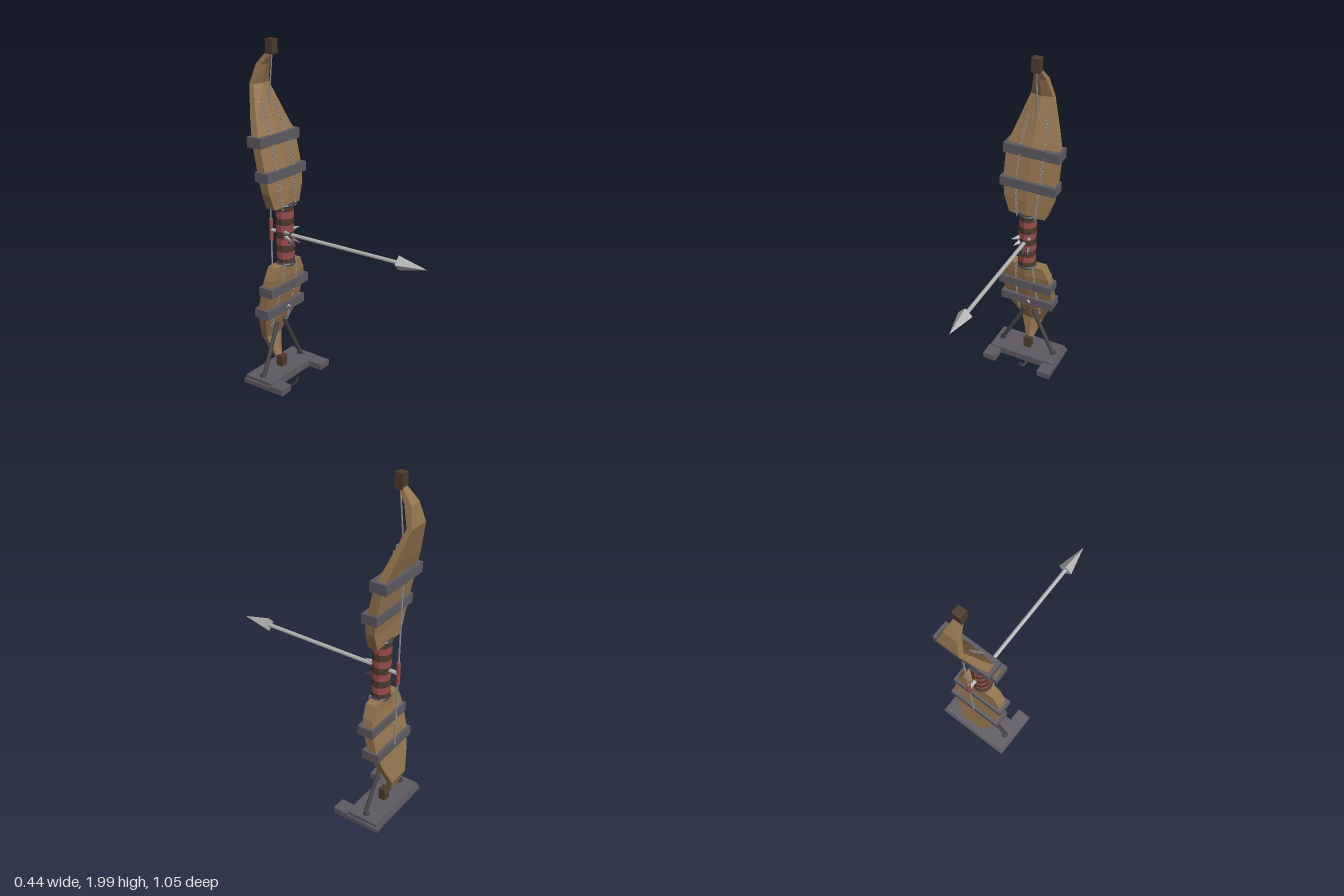
import * as THREE from 'three';

const mat = (name, color) => {
  const m = new THREE.MeshStandardMaterial({ color });
  m.name = name;
  m.flatShading = true;
  return m;
};

export function createModel() {
  const root = new THREE.Group();
  const wood = mat('wood', 0x94754f);
  const darkWood = mat('dark wood', 0x4c3a2c);
  const red = mat('red leather', 0x994c4a);
  const metal = mat('grey metal', 0x5d5a61);
  const darkMetal = mat('dark metal', 0x434246);
  const steel = mat('light steel', 0xb0b0b0);
  const chainGrey = mat('chain grey', 0x8a8c90);

  const add = (name, geo, material, x = 0, y = 0, z = 0, parent = root) => {
    const m = new THREE.Mesh(geo, material);
    m.name = name;
    m.position.set(x, y, z);
    parent.add(m);
    return m;
  };
  // box given by its extents
  const box = (name, material, x0, x1, y0, y1, z0, z1) =>
    add(name, new THREE.BoxGeometry(x1 - x0, y1 - y0, z1 - z0), material,
      (x0 + x1) / 2, (y0 + y1) / 2, (z0 + z1) / 2);
  // rod or spike between two points
  const UP = new THREE.Vector3(0, 1, 0);
  const rod = (name, material, a, b, r0, r1 = r0, sides = 8) => {
    const p = new THREE.Vector3(...a), q = new THREE.Vector3(...b);
    const d = q.clone().sub(p);
    const m = add(name, new THREE.CylinderGeometry(r1, r0, d.length(), sides), material);
    m.position.copy(p).add(q).multiplyScalar(0.5);
    m.quaternion.setFromUnitVectors(UP, d.normalize());
    return m;
  };

  // limb sections: y, half width, front z, back z
  const upper = [
    [1.13, 0.105, -0.33, -0.4], [1.22, 0.137, -0.335, -0.4], [1.31, 0.15, -0.345, -0.41],
    [1.5, 0.15, -0.385, -0.445], [1.6, 0.118, -0.425, -0.478], [1.77, 0.062, -0.485, -0.525],
    [1.87, 0.036, -0.452, -0.5], [1.94, 0.018, -0.405, -0.44],
  ];
  const lower = [
    [0.18, 0.018, -0.405, -0.43], [0.25, 0.038, -0.428, -0.47], [0.33, 0.066, -0.448, -0.495],
    [0.45, 0.12, -0.405, -0.465], [0.54, 0.148, -0.38, -0.445], [0.66, 0.15, -0.348, -0.415],
    [0.73, 0.137, -0.335, -0.405], [0.8, 0.105, -0.33, -0.4],
  ];
  const limb = (name, rows) => {
    const rings = rows.map(([y, w, f, b]) =>
      [[0, y, f], [w, y, f - 0.013], [w, y, b], [-w, y, b], [-w, y, f - 0.013]]);
    const pos = [];
    const tri = (...p) => p.forEach((v) => pos.push(...v));
    for (let i = 0; i < rings.length - 1; i++) {
      for (let j = 0; j < 5; j++) {
        const k = (j + 1) % 5, lo = rings[i], hi = rings[i + 1];
        tri(lo[j], lo[k], hi[k]);
        tri(lo[j], hi[k], hi[j]);
      }
    }
    const bot = rings[0], top = rings[rings.length - 1];
    for (let j = 1; j < 4; j++) {
      tri(bot[0], bot[j + 1], bot[j]);
      tri(top[0], top[j], top[j + 1]);
    }
    const g = new THREE.BufferGeometry();
    g.setAttribute('position', new THREE.Float32BufferAttribute(pos, 3));
    g.computeVertexNormals();
    add(name, g, wood);
  };
  limb('upperLimb', upper);
  limb('lowerLimb', lower);
  box('upperTip', darkWood, -0.023, 0.023, 1.925, 2, -0.445, -0.4);
  box('lowerTip', darkWood, -0.023, 0.023, 0.14, 0.21, -0.43, -0.39);

  // metal bands across the limbs
  [[1.465, 1.52, -0.47, -0.377], [1.287, 1.34, -0.425, -0.337],
    [0.638, 0.69, -0.423, -0.333], [0.5, 0.552, -0.46, -0.365]]
    .forEach(([y0, y1, z0, z1]) => box('limbBand', metal, -0.16, 0.16, y0, y1, z0, z1));

  // wrapped grip with alternating bands and end rings
  const n = 9, y0 = 0.795, h = 0.345 / n;
  for (let i = 0; i < n; i++) {
    const g = new THREE.CylinderGeometry(0.05, 0.05, h, 10);
    add(i % 2 ? 'redWrap' : 'brownWrap', g, i % 2 ? red : darkWood, 0, y0 + h * (i + 0.5), -0.362);
  }
  for (const y of [0.8, 1.135]) {
    add('gripRing', new THREE.TorusGeometry(0.047, 0.009, 6, 12), darkMetal, 0, y, -0.362)
      .rotation.x = Math.PI / 2;
  }

  // chains lying on the front of the limbs
  const frontAt = (rows, y) => {
    let i = 0;
    while (i < rows.length - 2 && rows[i + 1][0] < y) i++;
    const t = (y - rows[i][0]) / (rows[i + 1][0] - rows[i][0]);
    return rows[i][2] + t * (rows[i + 1][2] - rows[i][2]);
  };
  const link = new THREE.TorusGeometry(0.0065, 0.0022, 4, 8);
  link.scale(1, 1.6, 1);
  const chain = (rows, a, b, xAt) => {
    const count = Math.round((b - a) / 0.017);
    for (const s of [1, -1]) {
      const g = new THREE.Group();
      g.name = 'chain';
      root.add(g);
      for (let i = 0; i <= count; i++) {
        const t = i / count, y = a + (b - a) * t;
        add('chainLink', link, chainGrey, s * xAt(t), y, frontAt(rows, y) - 0.002, g)
          .rotation.y = i % 2 ? 0.8 : -0.8;
      }
    }
  };
  chain(upper, 1.13, 1.67, (t) => 0.053 + 0.016 * Math.sin(t * Math.PI));
  chain(lower, 0.42, 0.8, (t) => 0.066 - 0.016 * t * t);

  // bowstring and its red serving
  rod('bowstring', chainGrey, [0, 0.53, -0.46], [0, 1.49, -0.46], 0.005, 0.005, 6);
  rod('upperString', chainGrey, [0, 1.93, -0.42], [0, 1.62, -0.455], 0.004, 0.004, 6);
  rod('stringServing', red, [0, 0.905, -0.46], [0, 1.03, -0.46], 0.011);

  // arrow
  rod('arrowShaft', steel, [0, 0.967, -0.46], [0, 0.967, 0.37], 0.011);
  rod('arrowHead', steel, [0, 0.967, 0.36], [0, 0.967, 0.525], 0.04, 0, 4);

  // spikes around the arrow rest
  [[-0.06, 1.0, -0.275, steel], [0.038, 1.015, -0.285, steel], [-0.03, 0.92, -0.28, darkMetal],
    [0.035, 0.915, -0.28, darkMetal], [0, 0.9, -0.285, darkMetal], [-0.05, 0.955, -0.28, steel]]
    .forEach(([x, y, z, m]) =>
      rod('spike', m, [x * 0.6, 0.967 + (y - 0.967) * 0.6, -0.33], [x, y, z], 0.014, 0, 5));
  rod('bandSpike', steel, [0.012, 0.53, -0.37], [0.03, 0.52, -0.355], 0.012, 0, 5);

  // foot plate
  box('plateTop', metal, -0.208, 0.208, 0.123, 0.145, -0.5, -0.315);
  box('plateBottom', metal, -0.218, 0.218, 0.1, 0.125, -0.507, -0.317);
  for (const s of [1, -1]) {
    box('plateFoot', metal, s * 0.178 - 0.04, s * 0.178 + 0.04, 0.1, 0.135, -0.32, -0.233);
    // braces from plate to lower limb
    rod('brace', darkMetal, [s * 0.172, 0.14, -0.402], [s * 0.028, 0.43, -0.41], 0.012);
    add('braceFoot', new THREE.CylinderGeometry(0.014, 0.018, 0.02, 8), darkMetal, s * 0.168, 0.152, -0.41);
  }

  // hook loop under the plate
  add('hookLoop', new THREE.TorusGeometry(0.084, 0.009, 8, 20, Math.PI), darkMetal, 0, 0.104, -0.38)
    .rotation.set(Math.PI, Math.PI / 2, 0);

  return root;
}
